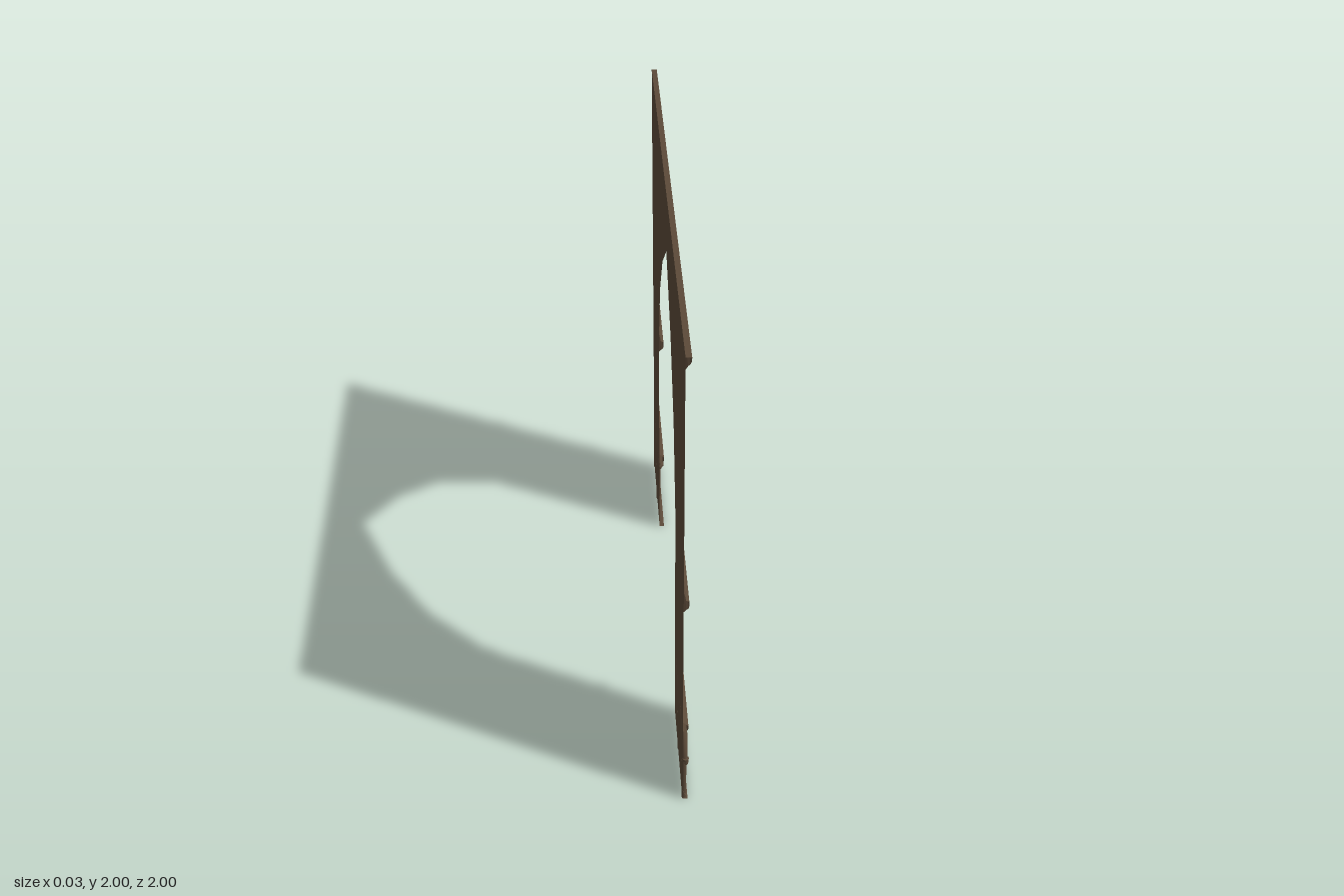
import * as THREE from 'three';

const stone = new THREE.MeshStandardMaterial({ color: 0x5c4a39, side: THREE.DoubleSide });
stone.name = 'brown stone';

const WALL_X = -0.012;

function add(parent, name, geometry) {
  const mesh = new THREE.Mesh(geometry, stone);
  mesh.name = name;
  parent.add(mesh);
  return mesh;
}

// Open moulding: a profile of [x, y] points, bottom to top, swept along z
function moulding(profile, z0, z1) {
  const pos = [];
  for (let i = 0; i < profile.length - 1; i++) {
    const [xa, ya] = profile[i], [xb, yb] = profile[i + 1];
    pos.push(xa, ya, z0, xb, yb, z1, xa, ya, z1);
    pos.push(xa, ya, z0, xb, yb, z0, xb, yb, z1);
  }
  const g = new THREE.BufferGeometry();
  g.setAttribute('position', new THREE.Float32BufferAttribute(pos, 3));
  g.computeVertexNormals();
  return g;
}

// Round rib following a list of [z, y] points
function rib(points) {
  const path = new THREE.CurvePath();
  const v = points.map(([z, y]) => new THREE.Vector3(-0.003, y, z));
  const curve = new THREE.CatmullRomCurve3(v);
  path.add(curve);
  return new THREE.TubeGeometry(curve, 12, 0.011, 8, false);
}

export function createModel() {
  const model = new THREE.Group();
  model.name = 'archWall';

  // Thin wall sheet with a pointed opening reaching the floor
  const half = [[0.553, 0], [0.546, 1.0], [0.437, 1.33], [0.253, 1.57]];
  const outline = [[-1, 0], [-1, 2], [1, 2], [1, 0], ...half, [0, 1.765],
    ...half.map(([u, y]) => [-u, y]).reverse()];
  const shape = new THREE.Shape(outline.map(([u, y]) => new THREE.Vector2(u, y)));
  const wall = new THREE.ShapeGeometry(shape);
  wall.rotateY(Math.PI / 2);
  wall.translate(WALL_X, 0, 0);
  add(model, 'wall', wall);

  // Cornice along the top
  add(model, 'cornice', moulding(
    [[WALL_X, 1.955], [-0.004, 1.968], [0.003, 1.975], [0.008, 1.985], [0.008, 2], [WALL_X, 2]], -1, 1));

  const bands = {
    baseMoulding: [[WALL_X, 0], [0.007, 0], [0.007, 0.01], [-0.003, 0.024], [WALL_X, 0.045]],
    lowerBand: [[WALL_X, 0.365], [0.003, 0.367], [0.008, 0.378], [0.008, 0.394],
      [0.001, 0.4], [WALL_X, 0.413]],
    middleBand: [[WALL_X, 0.955], [-0.003, 0.965], [0.005, 0.972], [0.008, 0.988],
      [0.006, 1.003], [-0.004, 1.007], [-0.006, 1.02], [WALL_X, 1.045]],
  };
  const innerEdge = { baseMoulding: 0.553, lowerBand: 0.551, middleBand: 0.546 };

  for (const side of [1, -1]) {
    const pier = new THREE.Group();
    pier.name = side > 0 ? 'frontPier' : 'backPier';
    model.add(pier);

    // Horizontal mouldings across the pier
    for (const name in bands) {
      const e = innerEdge[name];
      add(pier, name, moulding(bands[name], side > 0 ? e : -1, side > 0 ? 1 : -e));
    }

    // Blind arcade: one full arch and one cut short at the opening
    const rise = [[0.11, 0.19], [0.102, 0.235], [0.079, 0.29], [0.045, 0.334], [0, 0.36]];
    const arc = (centre, dir, pts) => rib(pts.map(([d, y]) => [side * (centre + dir * d), y]));
    add(pier, 'outerArchLeft', arc(0.875, 1, rise));
    add(pier, 'outerArchRight', arc(0.875, -1, rise));
    add(pier, 'innerArch', arc(0.627, 1, rise));
    add(pier, 'innerArchStub', arc(0.627, -1, rise.slice(3).concat([]).map(([d, y]) => [d * 1.05, y - d * 0.2])));

    // Slim columns with capitals
    for (const z of [0.75, 0.988]) {
      const r = z > 0.9 ? 0.009 : 0.012;
      const shaft = add(pier, 'column', new THREE.CylinderGeometry(r, r, 0.2, 10, 1, true));
      shaft.position.set(-0.006, 0.1, side * z);
      shaft.scale.x = 0.009 / r;
      const capital = add(pier, 'capital', new THREE.CylinderGeometry(r * 1.3, r, 0.028, 10));
      capital.position.set(0, 0.196, side * z);
      capital.scale.x = 0.012 / (r * 1.3);
    }
  }
  return model;
}
